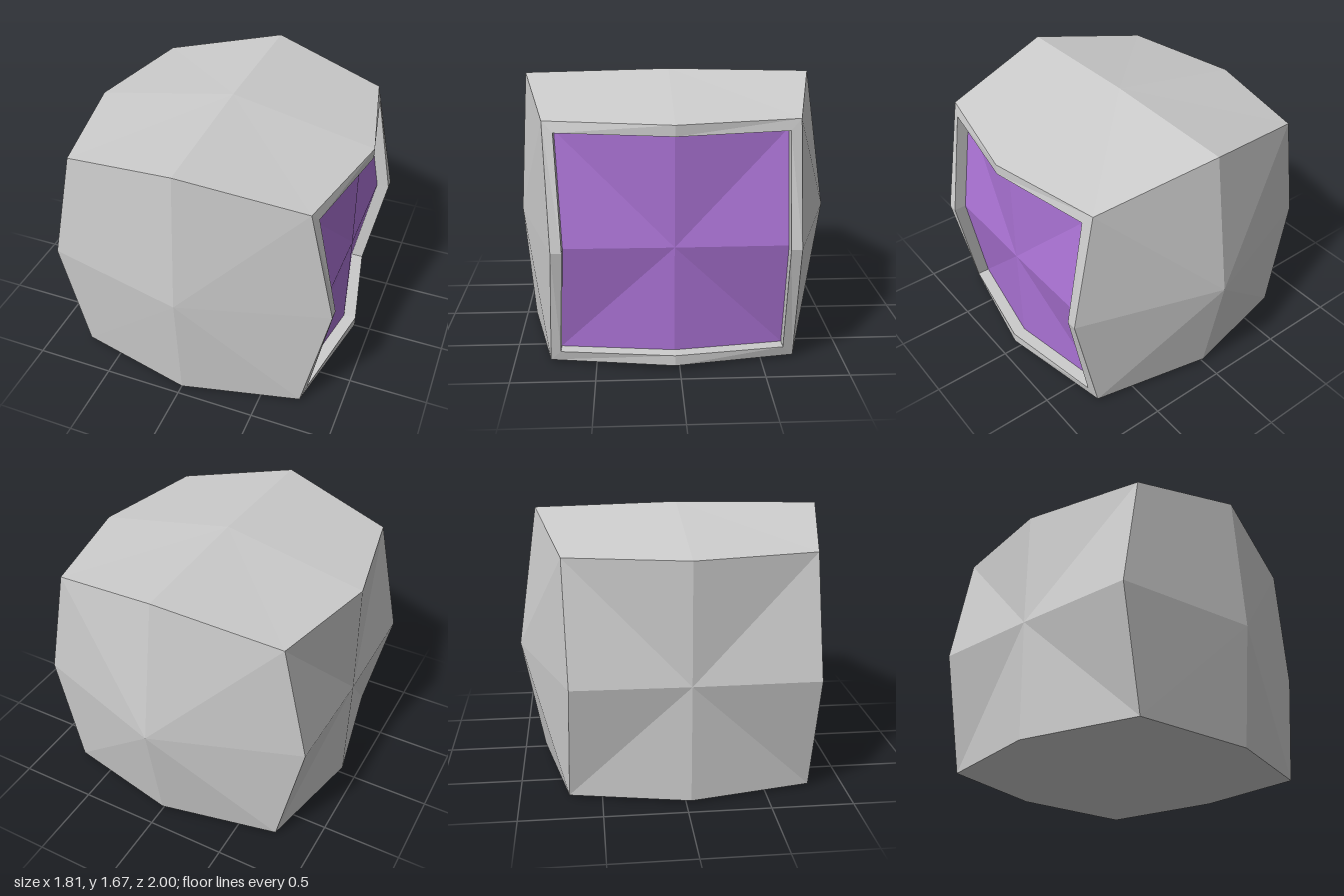
import * as THREE from 'three';

// Eight steps around a face, counter-clockwise: corners alternate with edge midpoints
const RING = [[1, 0], [1, 1], [0, 1], [-1, 1], [-1, 0], [-1, -1], [0, -1], [1, -1]];

// Point of the bulged cube for grid position i, j, k in -1, 0, 1
function cagePoint([i, j, k]) {
  const n = Math.abs(i) + Math.abs(j) + Math.abs(k);
  const x = i * [0, 0.91, 0.9, 0.745][n];

  let y = 0.76;
  if (j > 0) y = i ? 1.5 : k ? 1.66 : 1.68;
  if (j < 0) {
    if (n === 3) y = 0.02;
    else if (k) y = k > 0 ? 0.005 : 0.03;
    else if (i) y = i > 0 ? 0.04 : 0.025;
    else y = 0.017;
  }

  let z = 0.03;
  if (k > 0) z = n === 1 ? 1 : n === 3 ? 0.78 : j ? 0.94 : i > 0 ? 0.745 : 0.8;
  if (k < 0) z = n === 1 ? -1 : n === 3 ? -0.7 : j ? -0.865 : i > 0 ? -0.705 : -0.68;
  return new THREE.Vector3(x, y, z);
}

// Grid positions of the ring around the face on one axis
function faceGrid(axis, sign) {
  return RING.map(([a, b]) => {
    const p = [0, 0, 0];
    p[axis] = sign;
    p[(axis + 1) % 3] = sign > 0 ? a : b;
    p[(axis + 2) % 3] = sign > 0 ? b : a;
    return p;
  });
}

// Triangles from a centre to a closed loop
function fan(center, loop) {
  return loop.flatMap((p, i) => [center, p, loop[(i + 1) % loop.length]]);
}

// Band of quads between two closed loops
function band(outer, inner) {
  return outer.flatMap((p, i) => {
    const j = (i + 1) % outer.length;
    return [p, outer[j], inner[j], p, inner[j], inner[i]];
  });
}

function addMesh(group, name, points, material) {
  const geometry = new THREE.BufferGeometry().setFromPoints(points);
  geometry.computeVertexNormals();
  const mesh = new THREE.Mesh(geometry, material);
  mesh.name = name;
  group.add(mesh);
}

export function createModel() {
  const group = new THREE.Group();
  group.name = 'facetedHousing';
  const grey = new THREE.MeshStandardMaterial({ name: 'shellGrey', color: 0xcccccc, flatShading: true });
  const purple = new THREE.MeshStandardMaterial({ name: 'screenPurple', color: 0xaa72d4, flatShading: true });

  // Five closed faces of the shell
  const faces = [
    ['leftOuterFace', 0, -1], ['topFace', 1, 1], ['bottomFace', 1, -1],
    ['frontFace', 2, 1], ['backFace', 2, -1],
  ];
  faces[0][0] = 'closedSideFace';
  for (const [name, axis, sign] of faces) {
    const center = [0, 0, 0];
    center[axis] = sign;
    addMesh(group, name, fan(cagePoint(center), faceGrid(axis, sign).map(cagePoint)), grey);
  }

  // Open side: rim, inner wall and recessed pane
  const inset = 0.065, depth = 0.08;
  const grid = faceGrid(0, 1);
  const outer = grid.map(cagePoint);
  const inner = outer.map((p, i) => {
    const [, j, k] = grid[i];
    return new THREE.Vector3(j && k ? 0.773 : 0.9, p.y - j * inset, p.z - k * inset);
  });
  const recessed = inner.map((p) => new THREE.Vector3(p.x - depth, p.y, p.z));
  addMesh(group, 'openingRim', band(outer, inner), grey);
  addMesh(group, 'openingWall', band(inner, recessed), grey);
  addMesh(group, 'recessedPane', fan(new THREE.Vector3(0.825, 0.76, 0.03), recessed), purple);

  return group;
}
